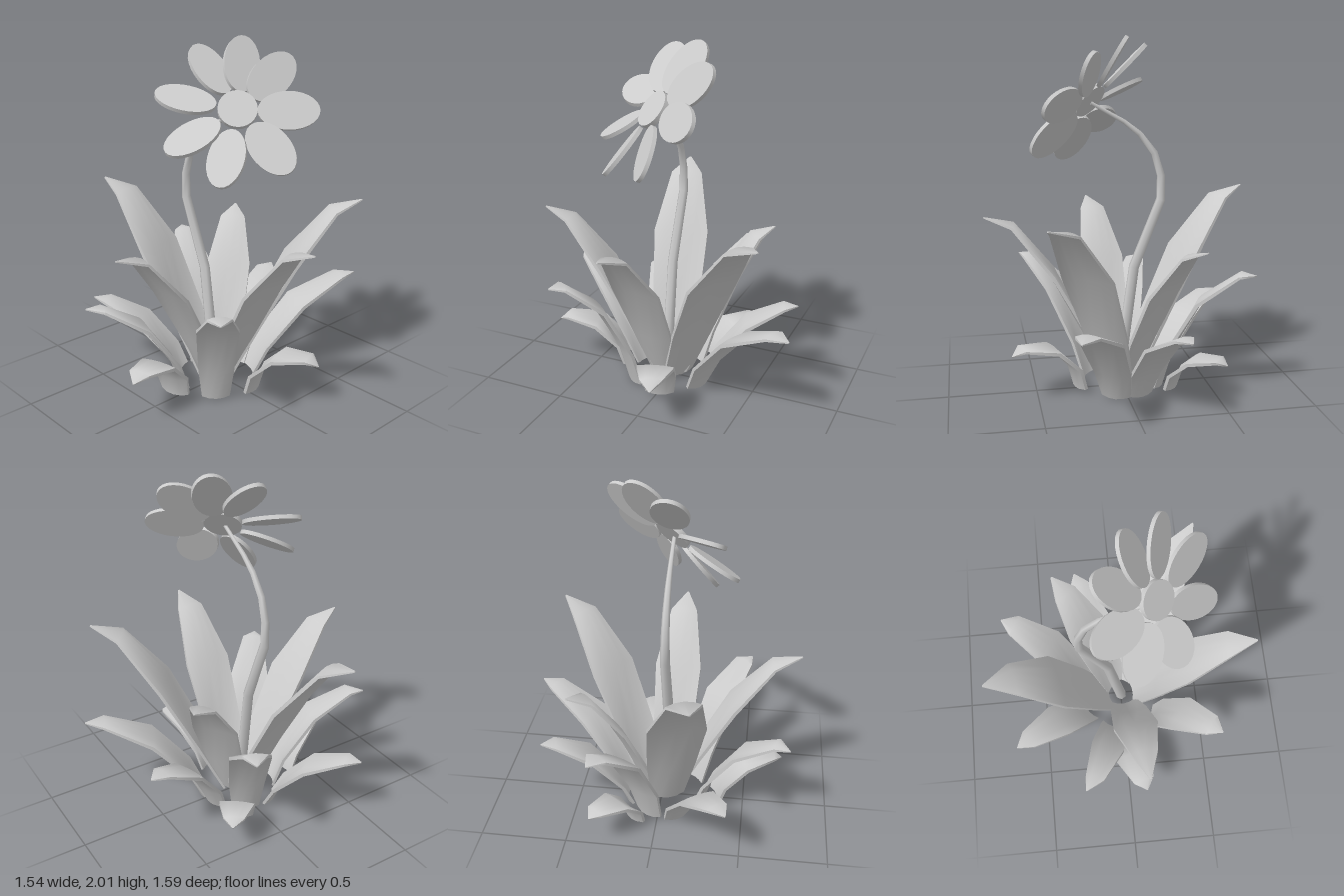
import * as THREE from 'three';
import { toCreasedNormals } from 'three/addons/utils/BufferGeometryUtils.js';

const V = (x, y, z) => new THREE.Vector3(x, y, z);
const UP = V(0, 1, 0);
const material = new THREE.MeshStandardMaterial({ color: 0xcccccc });

function addMesh(parent, geometry, name) {
  const mesh = new THREE.Mesh(geometry, material);
  mesh.name = name;
  parent.add(mesh);
  return mesh;
}

// Skin closed rings of points (even count, clockwise seen from the far end), with caps
function loft(rings, crease) {
  const m = rings[0].length;
  const last = (rings.length - 1) * m;
  const index = [];
  for (let i = 0; i < rings.length - 1; i++) {
    for (let j = 0; j < m; j++) {
      const a = i * m + j, b = i * m + (j + 1) % m;
      index.push(a, a + m, b, b, a + m, b + m);
    }
  }
  for (let j = 0; j < m / 2 - 1; j++) {
    const [a, b, c, d] = [j, j + 1, m - 2 - j, m - 1 - j];
    index.push(a, b, c, a, c, d);
    index.push(last + a, last + c, last + b, last + a, last + d, last + c);
  }
  const geometry = new THREE.BufferGeometry().setFromPoints(rings.flat());
  geometry.setIndex(index);
  return toCreasedNormals(geometry, crease);
}

// Leaf stations: [share of reach, share of height, share of width]
const profiles = {
  tall: [[0, 0, 0.62], [0.2, 0.31, 0.86], [0.45, 0.67, 1], [0.77, 0.955, 0.57], [1, 1, 0.03]],
  mid: [[0, 0, 0.7], [0.11, 0.3, 0.88], [0.43, 0.77, 1], [0.84, 1.01, 0.56], [1, 1, 0.03]],
  low: [[0, 0, 0.8], [0.08, 0.5, 0.95], [0.4, 1.06, 1], [0.86, 1.18, 0.58], [1, 1, 0.03]],
};
const baseHeights = { tall: 0.05, mid: 0.012, low: 0.025 };

// Leaves are cupped at the foot and ridged where they bend over near the tip
const cupping = [0.3, 0.16, -0.08, -0.22, 0];
const swayShare = [0, 0.6, 1, 0.7, 0];

// A thin, arching leaf; sway shifts its middle sideways
function leafGeometry(tip, base, width, profile, sway) {
  const reach = tip.clone().sub(base).setY(0);
  const side = UP.clone().cross(reach).normalize();
  const centres = profile.map(([u, v], i) => base.clone().addScaledVector(reach, u)
    .addScaledVector(side, sway * swayShare[i]).setY(base.y + v * (tip.y - base.y)));
  const across = [-1, -0.5, 0, 0.5, 1];
  const rings = profile.map(([, , w], i) => {
    const forward = centres[Math.min(i + 1, centres.length - 1)].clone()
      .sub(centres[Math.max(i - 1, 0)]).normalize();
    const normal = forward.clone().cross(side).normalize();
    const half = w * width / 2;
    const thick = 0.006 + 0.014 * Math.min(1, w);
    const point = (t, drop) => centres[i].clone().addScaledVector(side, t * half)
      .addScaledVector(normal, half * cupping[i] * (t * t - 0.6) - drop);
    return [...across.map((t) => point(t, 0)),
      ...across.map((t) => point(-t, thick))];
  });
  return loft(rings, 1.0);
}

// Tip x, y, z, base x, z, width, profile, sway
const leaves = [
  // inner ring
  [0.09, 0.99, 0.79, 0.015, 0.08, 0.26, 'tall', 0],
  [-0.77, 1.13, 0.23, -0.06, 0.04, 0.33, 'tall', 0],
  [0.485, 1.09, -0.66, 0.035, -0.045, 0.31, 'tall', 0],
  [0.77, 1.02, 0.07, 0.065, 0.035, 0.28, 'tall', 0],
  [-0.37, 0.9, -0.48, -0.025, -0.04, 0.26, 'tall', 0],
  // middle ring
  [0.55, 0.7, 0.505, 0.16, 0.18, 0.23, 'mid', 0],
  [-0.27, 0.59, 0.75, -0.07, 0.22, 0.2, 'mid', 0.04],
  [-0.7, 0.71, -0.31, -0.2, -0.05, 0.235, 'mid', 0],
  [0.345, 0.56, -0.8, 0.065, -0.18, 0.24, 'mid', 0],
  [-0.24, 0.48, -0.68, -0.07, -0.18, 0.22, 'mid', 0],
  [-0.67, 0.43, 0.42, -0.21, 0.11, 0.22, 'mid', 0],
  // outer ring
  [0.1, 0.27, 0.72, -0.02, 0.33, 0.22, 'low', 0],
  [0.645, 0.27, -0.145, 0.25, -0.02, 0.21, 'low', 0],
  [-0.535, 0.21, -0.35, -0.26, -0.13, 0.2, 'low', 0],
];

// Tapering six-sided stem that bows to the right and rises to the flower
function stemGeometry() {
  const path = [[0.0, 0.1], [-0.08, 0.7], [-0.235, 1.09], [-0.235, 1.23],
    [-0.195, 1.36], [-0.11, 1.47], [-0.02, 1.54], [0.165, 1.645]]
    .map(([x, y]) => V(x, y, 0.045));
  const rings = path.map((p, i) => {
    const forward = path[Math.min(i + 1, path.length - 1)].clone()
      .sub(path[Math.max(i - 1, 0)]).normalize();
    const normal = V(-forward.y, forward.x, 0);
    const side = normal.clone().cross(forward);
    const radius = 0.034 - 0.023 * i / (path.length - 1);
    return [0, 1, 2, 3, 4, 5].map((k) => p.clone()
      .addScaledVector(side, -radius * Math.cos(k * Math.PI / 3))
      .addScaledVector(normal, radius * Math.sin(k * Math.PI / 3)));
  });
  return loft(rings, 1.2);
}

// Flat round slab whose local y axis is the facing direction
function addSlab(parent, name, centre, along, facing, length, width, thickness) {
  const geometry = new THREE.CylinderGeometry(1, 1, 1, 28);
  geometry.scale(length, thickness, width);
  const mesh = addMesh(parent, geometry, name);
  const basis = new THREE.Matrix4().makeBasis(along, facing, along.clone().cross(facing));
  mesh.quaternion.setFromRotationMatrix(basis);
  mesh.position.copy(centre);
}

// Petals: [angle around the flower in degrees, twist about the petal's own length]
const petals = [[-2, 0.45], [45, 0.42], [90, 0.38], [141, 0.3],
  [192, 0.15], [238, 0.32], [275, 0.4], [311, 0.43]];

function createFlower() {
  const flower = new THREE.Group();
  flower.name = 'flower';
  flower.position.set(0.169, 1.653, 0.038);
  const facing = V(0.61, 0.6, 0.52).normalize();
  const first = V(-0.77, 0.13, 0.62).projectOnPlane(facing).normalize();
  addSlab(flower, 'flowerCentre', V(0.008, 0.008, 0), first, facing, 0.105, 0.105, 0.03);
  for (const [angle, twist] of petals) {
    const along = first.clone().applyAxisAngle(facing, THREE.MathUtils.degToRad(angle));
    const normal = facing.clone().applyAxisAngle(along, twist);
    addSlab(flower, 'petal', along.clone().multiplyScalar(0.275), along, normal, 0.165, 0.105, 0.022);
  }
  return flower;
}

export function createModel() {
  const model = new THREE.Group();
  model.name = 'floweringPlant';
  const foliage = new THREE.Group();
  foliage.name = 'leaves';
  for (const [x, y, z, bx, bz, width, type, sway] of leaves) {
    const base = V(bx, baseHeights[type], bz);
    addMesh(foliage, leafGeometry(V(x, y, z), base, width, profiles[type], sway), 'leaf');
  }
  model.add(foliage);
  addMesh(model, stemGeometry(), 'stem');
  model.add(createFlower());
  return model;
}
